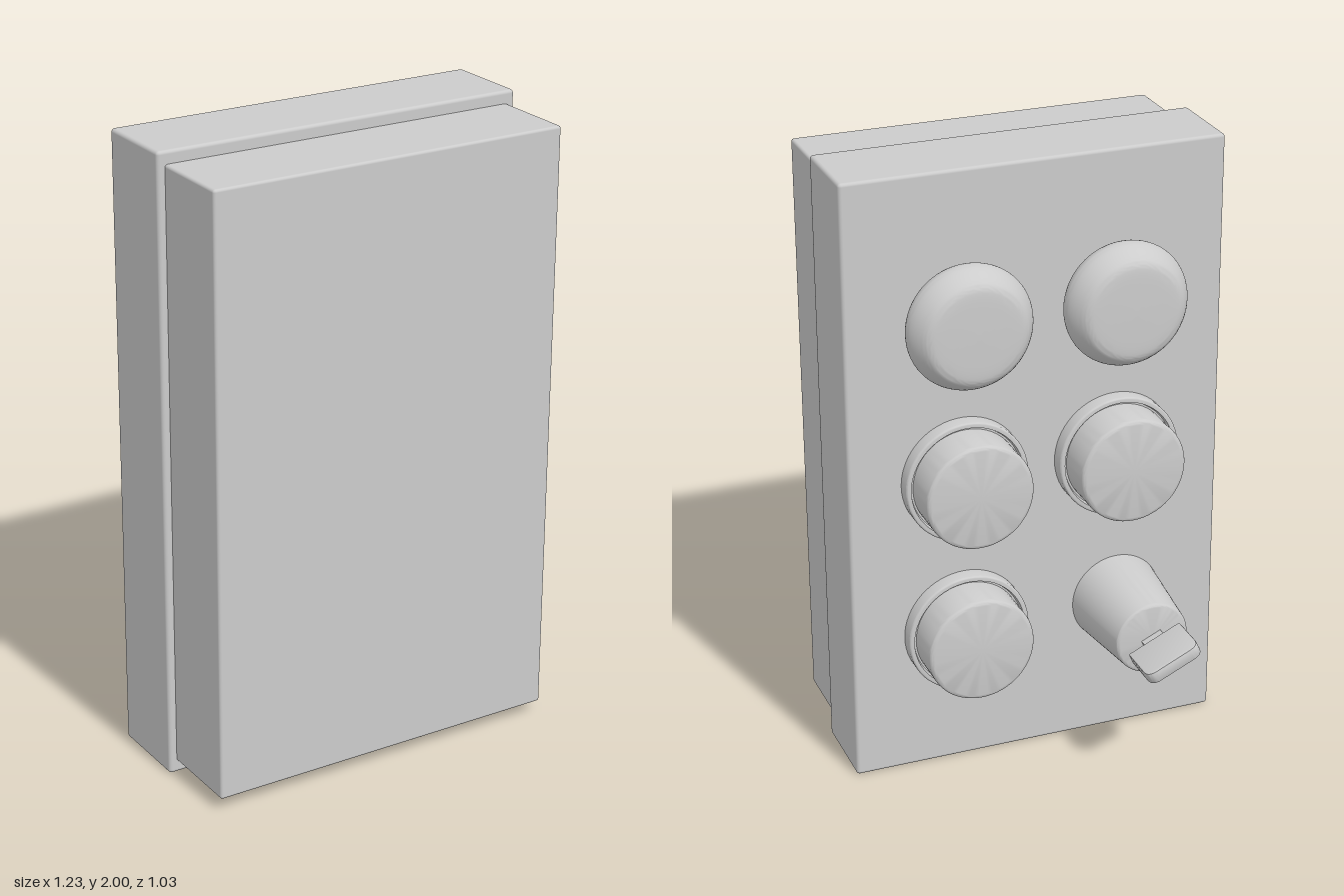
import * as THREE from 'three';
import { RoundedBoxGeometry } from 'three/addons/geometries/RoundedBoxGeometry.js';
import { toCreasedNormals } from 'three/addons/utils/BufferGeometryUtils.js';

const BACK = -0.04; // panel face that carries the controls
const material = new THREE.MeshStandardMaterial({ color: 0xcccccc });

function add(parent, name, geometry, x = 0, y = 0, z = 0) {
  const mesh = new THREE.Mesh(geometry, material);
  mesh.name = name;
  mesh.position.set(x, y, z);
  parent.add(mesh);
  return mesh;
}

// Lathe from [radius, height] pairs, with height pointing out of the panel (-z)
function turned(profile, crease = 0.6) {
  const points = profile.map(([r, h]) => new THREE.Vector2(r, h));
  const geometry = new THREE.LatheGeometry(points, 64).rotateX(-Math.PI / 2);
  return toCreasedNormals(geometry, crease);
}

// Corner arc from the side wall (radius r) to the flat top (height h)
function roundedEdge(r, h, bevel, steps = 5) {
  return Array.from({ length: steps + 1 }, (_, i) => {
    const a = (i / steps) * Math.PI / 2;
    return [r - bevel + bevel * Math.cos(a), h - bevel + bevel * Math.sin(a)];
  });
}

function mushroomGeometry() {
  const side = new THREE.SplineCurve([
    [0.155, 0], [0.172, 0.02], [0.19, 0.043], [0.2, 0.075], [0.193, 0.105],
    [0.173, 0.138], [0.155, 0.155], [0.13, 0.161], [0.07, 0.163], [0, 0.164],
  ].map(([r, h]) => new THREE.Vector2(r, h)));
  return turned(side.getPoints(36).map((p) => [Math.max(p.x, 0), p.y]), 1);
}

// Key bow: plate with rounded outer corners, lying in x-z
function keyBowGeometry(w, l, t) {
  const r = 0.035, s = 0.008, h = w / 2, bevel = 0.006;
  const shape = new THREE.Shape();
  shape.moveTo(-h + s, 0);
  shape.lineTo(h - s, 0);
  shape.quadraticCurveTo(h, 0, h, s);
  shape.lineTo(h, l - r);
  shape.quadraticCurveTo(h, l, h - r, l);
  shape.lineTo(-h + r, l);
  shape.quadraticCurveTo(-h, l, -h, l - r);
  shape.lineTo(-h, s);
  shape.quadraticCurveTo(-h, 0, -h + s, 0);
  const geometry = new THREE.ExtrudeGeometry(shape, {
    depth: t - 2 * bevel, bevelEnabled: true, bevelThickness: bevel,
    bevelSize: bevel, bevelOffset: -bevel, bevelSegments: 2, curveSegments: 8,
  });
  geometry.translate(0, 0, -t / 2 + bevel).rotateX(-Math.PI / 2);
  return toCreasedNormals(geometry, 0.6);
}

export function createModel() {
  const model = new THREE.Group();
  model.name = 'controlBox';

  // Two-part enclosure
  add(model, 'panelHousing', new RoundedBoxGeometry(1.23, 2, 0.28, 2, 0.011), 0, 1, 0.1);
  add(model, 'frontCover', new RoundedBoxGeometry(1.18, 1.92, 0.29, 2, 0.009), 0, 1, 0.37);

  // Mushroom buttons
  const mushroom = mushroomGeometry();
  for (const x of [-0.26, 0.245]) add(model, 'mushroomButton', mushroom, x, 1.53, BACK);

  // Push buttons: collar with a shallow groove around a cylindrical cap
  const collar = turned([[0.2, 0], ...roundedEdge(0.2, 0.05, 0.006, 3), [0.184, 0.05], [0.18, 0.035], [0.16, 0.035]]);
  const cap = turned([[0.174, 0.02], ...roundedEdge(0.174, 0.168, 0.016), [0, 0.168]]);
  for (const [x, y] of [[-0.26, 1], [0.245, 1], [0.245, 0.47]]) {
    const button = new THREE.Group();
    button.name = 'pushButton';
    button.position.set(x, y, BACK);
    add(button, 'buttonCollar', collar);
    add(button, 'buttonCap', cap);
    model.add(button);
  }

  // Key switch: tapered barrel with an inserted key turned at an angle
  const keySwitch = new THREE.Group();
  keySwitch.name = 'keySwitch';
  keySwitch.position.set(-0.275, 0.473, BACK);
  add(keySwitch, 'lockBarrel', turned([[0.15, 0], ...roundedEdge(0.121, 0.296, 0.012), [0, 0.296]]));
  const key = new THREE.Group();
  key.name = 'key';
  key.rotation.z = -THREE.MathUtils.degToRad(25);
  add(key, 'keyStem', new THREE.BoxGeometry(0.07, 0.028, 0.08), 0, 0, -0.31);
  add(key, 'keyBow', keyBowGeometry(0.19, 0.152, 0.042), 0, 0, -0.323);
  keySwitch.add(key);
  model.add(keySwitch);

  return model;
}
